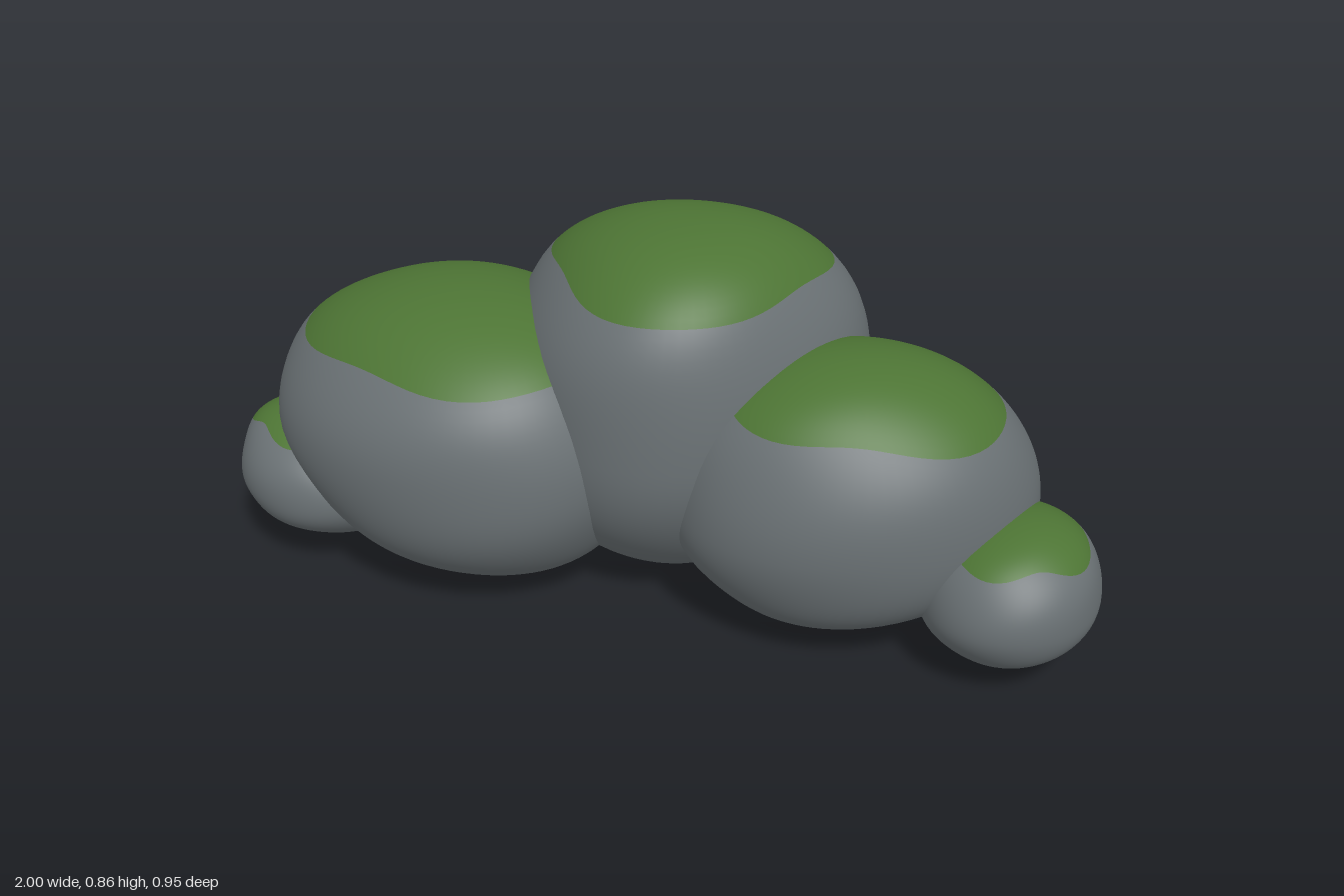
import * as THREE from 'three';
import { mergeVertices } from 'three/addons/utils/BufferGeometryUtils.js';

const stone = new THREE.MeshStandardMaterial({ color: 0x697073 });
stone.name = 'stone';
const moss = new THREE.MeshStandardMaterial({ color: 0x4d7434 });
moss.name = 'moss';

const COLS = 72, CAP_ROWS = 14, BODY_ROWS = 36;
const LOWER = 2.05; // roundness exponent of the lower half

// Lumpy boulder: an oval plan (centre, radius) swept over a rounded profile.
// top and base are [x, y, z] of the poles, widest is the height of the plan,
// upper is the roundness of the top, skew slants the oval, lobes gives it
// three corners, and droop lowers the moss edge towards +x.
function boulder({ name, centre, radius, top, base, widest, mossY, seed, upper, skew = 0, lobes = 0, droop = 0 }) {
  const position = [], index = [];
  const rows = CAP_ROWS + BODY_ROWS;

  // Rows run from the top pole to the wavy moss edge, then to the base pole
  for (let row = 0; row <= rows; row++) {
    for (let col = 0; col < COLS; col++) {
      const phi = (col / COLS) * Math.PI * 2;
      const edgeY = mossY - droop * Math.cos(phi)
        + 0.008 * Math.sin(3 * phi + seed) + 0.005 * Math.sin(5 * phi + 2 * seed);
      const edge = Math.asin(Math.pow((edgeY - widest) / (top[1] - widest), upper / 2));
      const a = row <= CAP_ROWS
        ? THREE.MathUtils.lerp(Math.PI / 2, edge, row / CAP_ROWS)
        : THREE.MathUtils.lerp(edge, -Math.PI / 2, (row - CAP_ROWS) / BODY_ROWS);

      const pole = a > 0 ? top : base;
      const power = 2 / (a > 0 ? upper : LOWER);
      const h = Math.pow(Math.abs(Math.sin(a)), power);
      const lump = 1 + 0.018 * Math.sin(3 * phi + 4 * a + seed) * Math.sin(2 * a);
      const r = Math.pow(Math.max(0, Math.cos(a)), power) * lump * (1 - lobes * Math.sin(3 * phi));
      position.push(
        THREE.MathUtils.lerp(centre[0], pole[0], h * h) + radius[0] * r * Math.cos(phi),
        THREE.MathUtils.lerp(widest, pole[1], h),
        THREE.MathUtils.lerp(centre[1], pole[2], h * h) + radius[1] * r * Math.sin(phi + skew)
      );
    }
  }
  for (let row = 0; row < rows; row++) {
    for (let col = 0; col < COLS; col++) {
      const a = row * COLS + col;
      const b = row * COLS + (col + 1) % COLS;
      if (row > 0) index.push(a, b, a + COLS);
      if (row < rows - 1) index.push(b, b + COLS, a + COLS);
    }
  }

  const grid = new THREE.BufferGeometry();
  grid.setAttribute('position', new THREE.Float32BufferAttribute(position, 3));
  grid.setIndex(index);
  const geometry = mergeVertices(grid, 1e-5);
  geometry.computeVertexNormals();

  // Moss on the cap rows, stone on the rest
  const capCount = (2 * CAP_ROWS - 1) * COLS * 3;
  geometry.addGroup(0, capCount, 0);
  geometry.addGroup(capCount, index.length - capCount, 1);

  const mesh = new THREE.Mesh(geometry, [moss, stone]);
  mesh.name = name;
  return mesh;
}

const boulders = [
  {
    name: 'centreBoulder', seed: 0.5, mossY: 0.742, widest: 0.43, upper: 2.25, lobes: 0.04,
    centre: [0, -0.082], radius: [0.416, 0.41], top: [0.03, 0.855, -0.02], base: [-0.02, 0, -0.09],
  },
  {
    name: 'largeRightBoulder', seed: 2.1, mossY: 0.565, widest: 0.35, upper: 2.12, skew: 0.12, droop: -0.012,
    centre: [-0.478, 0.085], radius: [0.457, 0.385], top: [-0.45, 0.68, 0.09], base: [-0.4, 0.025, 0.13],
  },
  {
    name: 'largeLeftBoulder', seed: 3.7, mossY: 0.545, widest: 0.31, upper: 2.05, skew: -0.12, droop: 0.018,
    centre: [0.44, 0.068], radius: [0.4, 0.338], top: [0.44, 0.65, 0.09], base: [0.4, 0.035, 0.11],
  },
  {
    name: 'smallRightBoulder', seed: 1.2, mossY: 0.318, widest: 0.2, upper: 2,
    centre: [-0.785, 0.17], radius: [0.215, 0.2], top: [-0.85, 0.355, 0.17], base: [-0.76, 0.065, 0.18],
  },
  {
    name: 'smallLeftBoulder', seed: 4.4, mossY: 0.308, widest: 0.19, upper: 2.05,
    centre: [0.805, 0.153], radius: [0.195, 0.222], top: [0.83, 0.36, 0.16], base: [0.79, 0.04, 0.15],
  },
];

export function createModel() {
  const model = new THREE.Group();
  model.name = 'mossyBoulders';
  for (const spec of boulders) model.add(boulder(spec));
  return model;
}
